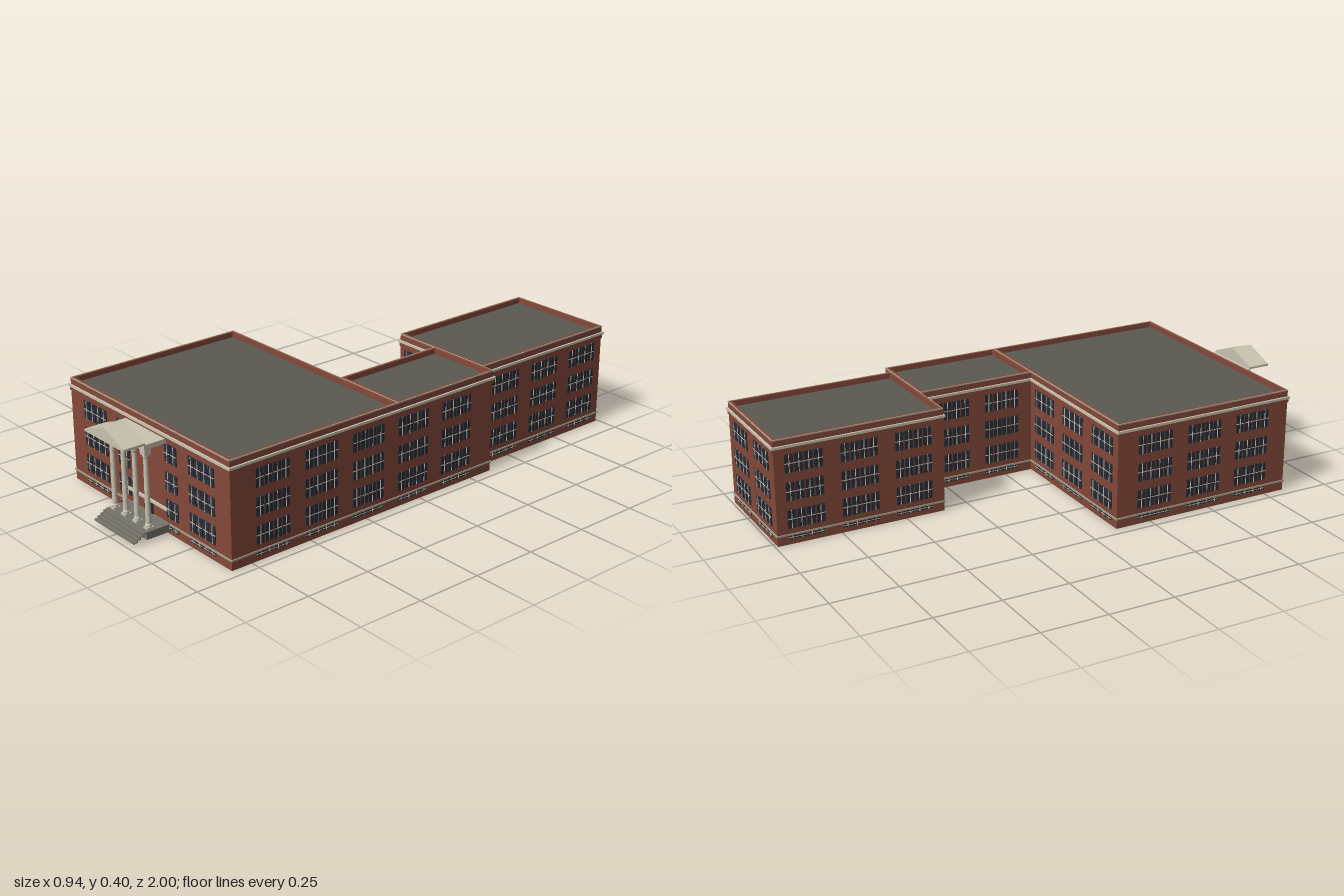
import * as THREE from 'three';
import { mergeGeometries } from 'three/addons/utils/BufferGeometryUtils.js';

const mat = (name, color, side = THREE.FrontSide) => {
  const m = new THREE.MeshStandardMaterial({ color, side });
  m.name = name;
  return m;
};

export function createModel() {
  const brick = mat('brick', 0x84493a);
  const roofing = mat('roofing', 0x5b5a51, THREE.DoubleSide);
  const cream = mat('cream trim', 0xcac3b0);
  const band = mat('stone band', 0xa89d8c);
  const glass = mat('dark glass', 0x2b2e38);
  const stone = mat('step stone', 0x77756a);
  const doorRed = mat('door', 0x6b372c);

  const model = new THREE.Group();
  model.name = 'columnedBuilding';

  const add = (parent, name, geometry, material) => {
    const mesh = new THREE.Mesh(geometry, material);
    mesh.name = name;
    parent.add(mesh);
    return mesh;
  };
  const box = (w, h, d, x, y, z) => new THREE.BoxGeometry(w, h, d).translate(x, y, z);

  // Rectangular ring around a block: "out" grows it, "thick" is its width
  const ring = ([x0, x1, z0, z1], out, thick, y0, y1) => {
    const rect = (C, o) => {
      const p = new C();
      p.moveTo(x0 - o, -z1 - o);
      p.lineTo(x1 + o, -z1 - o);
      p.lineTo(x1 + o, -z0 + o);
      p.lineTo(x0 - o, -z0 + o);
      p.closePath();
      return p;
    };
    const shape = rect(THREE.Shape, out);
    shape.holes.push(rect(THREE.Path, out - thick));
    return new THREE.ExtrudeGeometry(shape, { depth: y1 - y0, bevelEnabled: false })
      .rotateX(-Math.PI / 2).translate(0, y0, 0);
  };

  // Wings: open-bottomed walls, parapet, roof and bands
  const blocks = {
    mainBlock: [-0.462, 0.462, 0.11, 0.832],
    connector: [0.16, 0.462, -0.35, 0.11],
    rearBlock: [-0.025, 0.41, -0.99, -0.35],
  };
  for (const [name, b] of Object.entries(blocks)) {
    const g = new THREE.Group();
    g.name = name;
    model.add(g);
    add(g, 'walls', ring(b, 0, 0.012, 0, 0.391), brick);
    add(g, 'parapetCap', ring(b, 0.001, 0.004, 0.391, 0.395), band);
    add(g, 'parapetTop', ring(b, -0.003, 0.009, 0.391, 0.395), brick);
    add(g, 'cornice', ring(b, 0.007, 0.008, 0.361, 0.37), cream);
    add(g, 'corniceMoulding', ring(b, 0.003, 0.004, 0.347, 0.361), brick);
    add(g, 'waterTable', ring(b, 0.004, 0.005, 0.034, 0.04), band);
    const [x0, x1, z0, z1] = b;
    const roof = new THREE.PlaneGeometry(x1 - x0 - 0.02, z1 - z0 - 0.02).rotateX(-Math.PI / 2);
    add(g, 'roof', roof.translate((x0 + x1) / 2, 0.375, (z0 + z1) / 2), roofing);
  }

  // Windows: bays of four sashes on three floors, with basement lights below
  const PITCH = 0.036;
  const fourSashes = [-1.5, -0.5, 0.5, 1.5].map(i => i * PITCH);
  const facade = (name, x, z, angle, bays, extra = []) => {
    const g = new THREE.Group();
    g.name = name;
    g.position.set(x, 0, z);
    g.rotation.y = angle;
    model.add(g);
    const panes = [], bars = [];
    const columns = bays.flatMap(c => fourSashes.map(s => c + s)).concat(extra);
    for (const u of columns) {
      for (const y of [0.095, 0.198, 0.302]) {
        panes.push(box(0.031, 0.068, 0.004, u, y, 0.001));
        bars.push(box(0.0025, 0.068, 0.006, u, y, 0.0015));
        bars.push(box(0.031, 0.0025, 0.006, u, y, 0.0015));
      }
      panes.push(box(0.031, 0.013, 0.004, u, 0.0265, 0.001));
      bars.push(box(0.0025, 0.013, 0.006, u, 0.0265, 0.0015));
      bars.push(box(0.031, 0.002, 0.006, u, 0.0265, 0.0015));
    }
    add(g, 'windowPanes', mergeGeometries(panes), glass);
    add(g, 'glazingBars', mergeGeometries(bars), cream);
  };
  const H = Math.PI / 2;
  facade('frontWindows', 0, 0.832, 0, [-0.309, 0.309], [-0.157, -0.121, 0.121, 0.157]);
  facade('leftWindows', 0.462, 0, H, [-0.66, -0.452, -0.244, -0.037, 0.17]);
  facade('rearLeftWindows', 0.41, 0, H, [0.468, 0.675, 0.881]);
  facade('rightWindows', -0.462, 0, -H, [0.264, 0.471, 0.678]);
  facade('mainBackWindows', 0, 0.11, Math.PI, [-0.056, 0.151, 0.358]);
  facade('connectorRightWindows', 0.16, 0, -H, [-0.224, -0.017]);
  facade('rearRightWindows', -0.025, 0, -H, [-0.881, -0.675, -0.468]);
  facade('rearBackWindows', 0, -0.99, Math.PI, [-0.296, -0.089]);
  facade('rearFrontWindows', 0, -0.35, 0, [0.068]);

  // Entrance door with side lights and lintel
  const entrance = new THREE.Group();
  entrance.name = 'entrance';
  model.add(entrance);
  add(entrance, 'doorLeaf', box(0.026, 0.048, 0.006, 0, 0.064, 0.833), doorRed);
  for (const s of [-1, 1])
    add(entrance, 'sideLight', box(0.011, 0.048, 0.006, s * 0.0185, 0.064, 0.833), glass);
  add(entrance, 'lintel', box(0.23, 0.008, 0.012, 0, 0.091, 0.836), cream);

  // Portico: platform, stairs, columns, arched beam and pediment
  const portico = new THREE.Group();
  portico.name = 'portico';
  model.add(portico);
  add(portico, 'platform', box(0.244, 0.028, 0.098, 0, 0.026, 0.881), stone);

  const STEPS = 4, run = 0.012, rise = 0.0075;
  for (let i = 0; i < STEPS; i++) {
    const y = 0.038 - i * rise, z = 0.93 + i * run;
    add(portico, 'tread', box(0.24, 0.003, run + 0.002, 0, y - 0.0015, z + run / 2), stone);
    add(portico, 'riser', box(0.24, rise, 0.002, 0, y - rise / 2, z + run), stone);
  }

  const columnX = [-0.1, -0.0335, 0.0335, 0.1];
  const shaft = [[0.0001, 0], [0.012, 0], [0.012, 0.008], [0.0095, 0.012], [0.0095, 0.1],
    [0.008, 0.25], [0.0105, 0.258], [0.0105, 0.266], [0.0001, 0.266]]
    .map(([r, y]) => new THREE.Vector2(r, y));
  for (const x of columnX) {
    add(portico, 'columnPlinth', box(0.026, 0.008, 0.026, x, 0.044, 0.906), cream);
    add(portico, 'column', new THREE.LatheGeometry(shaft, 16).toNonIndexed()
      .translate(x, 0.048, 0.906), cream).geometry.computeVertexNormals();
  }

  const beam = new THREE.Shape();
  beam.moveTo(-0.115, 0.353);
  beam.lineTo(-0.115, 0.313);
  columnX.forEach((x, i) => {
    const last = i === columnX.length - 1;
    const r = last ? 0.115 : x + 0.012;
    beam.lineTo(r, 0.313);
    if (last) return;
    const n = columnX[i + 1] - 0.012;
    beam.quadraticCurveTo(r, 0.336, r + 0.014, 0.336);
    beam.lineTo(n - 0.014, 0.336);
    beam.quadraticCurveTo(n, 0.336, n, 0.313);
  });
  beam.lineTo(0.115, 0.353);
  beam.closePath();
  add(portico, 'archedBeam', new THREE.ExtrudeGeometry(beam,
    { depth: 0.026, bevelEnabled: false, curveSegments: 6 }).translate(0, 0, 0.893), cream);
  add(portico, 'porchCeiling', box(0.23, 0.017, 0.063, 0, 0.3445, 0.8635), cream);

  const gable = new THREE.Shape([[-0.115, 0.352], [0.115, 0.352], [0.115, 0.36], [0, 0.403], [-0.115, 0.36]]
    .map(p => new THREE.Vector2(...p)));
  add(portico, 'pediment', new THREE.ExtrudeGeometry(gable,
    { depth: 0.085, bevelEnabled: false }).translate(0, 0, 0.915), cream);

  return model;
}
